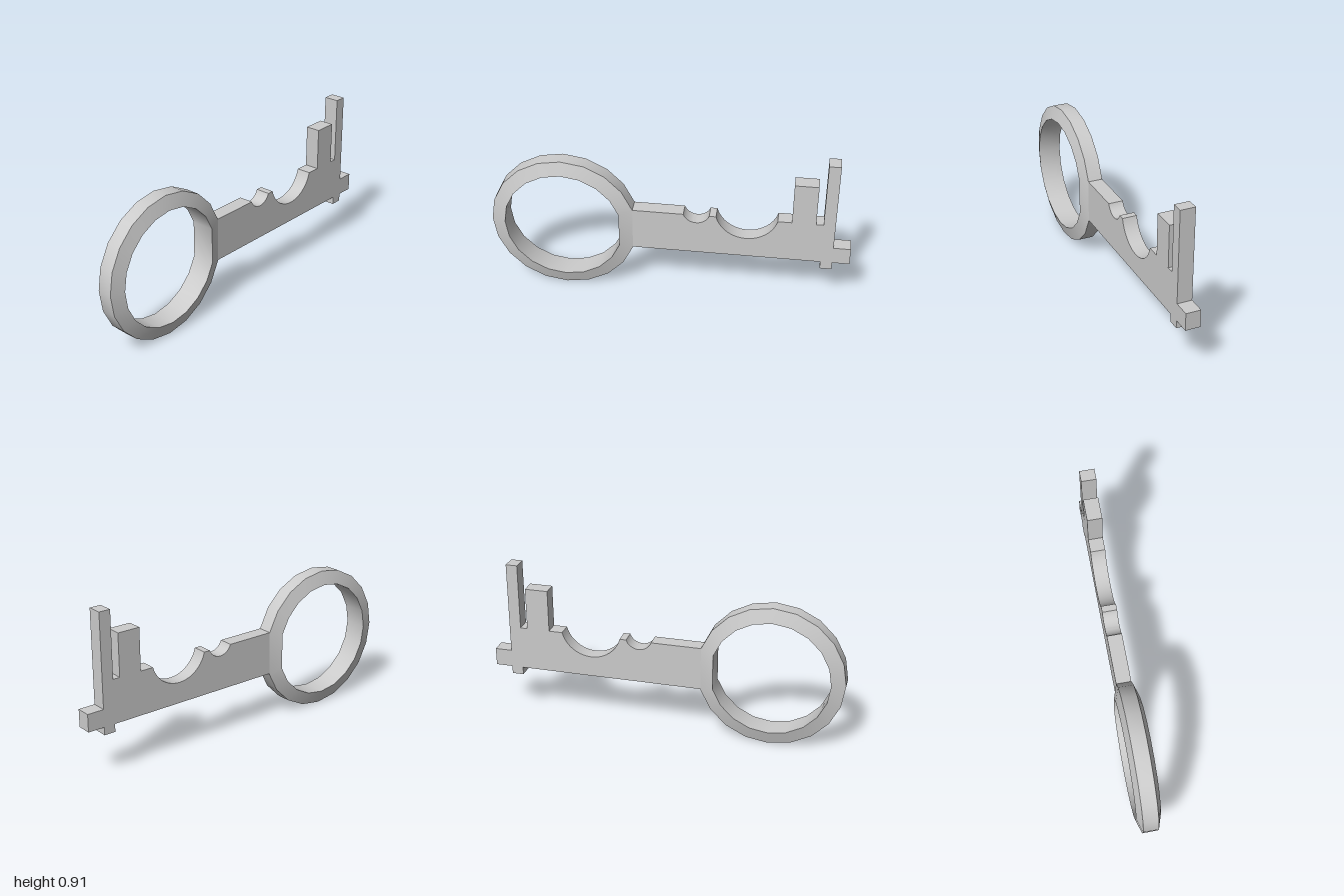
import * as THREE from 'three';
import { toCreasedNormals } from 'three/addons/utils/BufferGeometryUtils.js';

const CREASE = 0.55;
const material = new THREE.MeshStandardMaterial({ color: 0xcccccc });

// Faceted bow: a four-cornered section swept round, flattened where the blade joins
function bowGeometry() {
  const cy = 0.408, cz = 0.593, steps = 20;
  const section = [[0.408, 0.042], [0.331, 0.067], [0.331, -0.067], [0.408, -0.042]]; // radius, x
  const positions = [], indices = [];
  const rings = steps - 1; // the corner facing the blade is left out
  for (let i = 1; i <= rings; i++) {
    const a = (i / steps) * Math.PI * 2;
    for (const [r, x] of section) positions.push(x, cy + r * Math.sin(a), cz - r * Math.cos(a));
  }
  for (let i = 0; i < rings; i++) {
    const next = (i + 1) % rings;
    for (let k = 0; k < 4; k++) {
      if (next === 0 && k === 3) continue; // outer wall is covered by the blade
      const l = (k + 1) % 4;
      const a = i * 4 + k, b = i * 4 + l, c = next * 4 + l, d = next * 4 + k;
      indices.push(a, c, b, a, d, c);
    }
  }
  const geometry = new THREE.BufferGeometry();
  geometry.setAttribute('position', new THREE.Float32BufferAttribute(positions, 3));
  geometry.setIndex(indices);
  return toCreasedNormals(geometry, CREASE);
}

// Round notch cut down from the top edge, drawn from back to front
function notch(shape, from, to, top, depth) {
  const half = (from - to) / 2;
  const r = (half * half + depth * depth) / (2 * depth);
  const cy = top - depth + r;
  const a = Math.atan2(top - cy, half);
  shape.lineTo(from, top);
  shape.absarc((from + to) / 2, cy, r, a, -Math.PI - a, true);
}

// Blade outline with teeth, notches and tip, extruded across x
function bladeGeometry() {
  const front = -0.205, bottom = 0.285, top = 0.534, width = 0.084;
  const shape = new THREE.Shape();
  shape.moveTo(front, bottom);
  const outline = [
    [0.84, bottom], [0.84, 0.24], [0.905, 0.24], [0.905, bottom], // lower tooth
    [1, bottom], [1, 0.385], [0.905, 0.385],                      // tip
    [0.905, 0.91], [0.84, 0.91], [0.84, top],                     // tall tooth
    [0.8, top], [0.8, 0.775], [0.67, 0.775], [0.67, top],         // wide tooth
  ];
  for (const [x, y] of outline) shape.lineTo(x, y);
  notch(shape, 0.593, 0.257, top, 0.13);
  notch(shape, 0.22, 0.077, top, 0.05);
  shape.lineTo(front, top);
  shape.closePath();
  const geometry = new THREE.ExtrudeGeometry(shape, { depth: width, bevelEnabled: false, curveSegments: 10 });
  geometry.translate(0, 0, -width / 2);
  geometry.rotateY(Math.PI / 2);
  return toCreasedNormals(geometry, CREASE);
}

export function createModel() {
  const key = new THREE.Group();
  key.name = 'key';
  const parts = { bow: bowGeometry(), blade: bladeGeometry() };
  for (const [name, geometry] of Object.entries(parts)) {
    const mesh = new THREE.Mesh(geometry, material);
    mesh.name = name;
    key.add(mesh);
  }
  return key;
}
